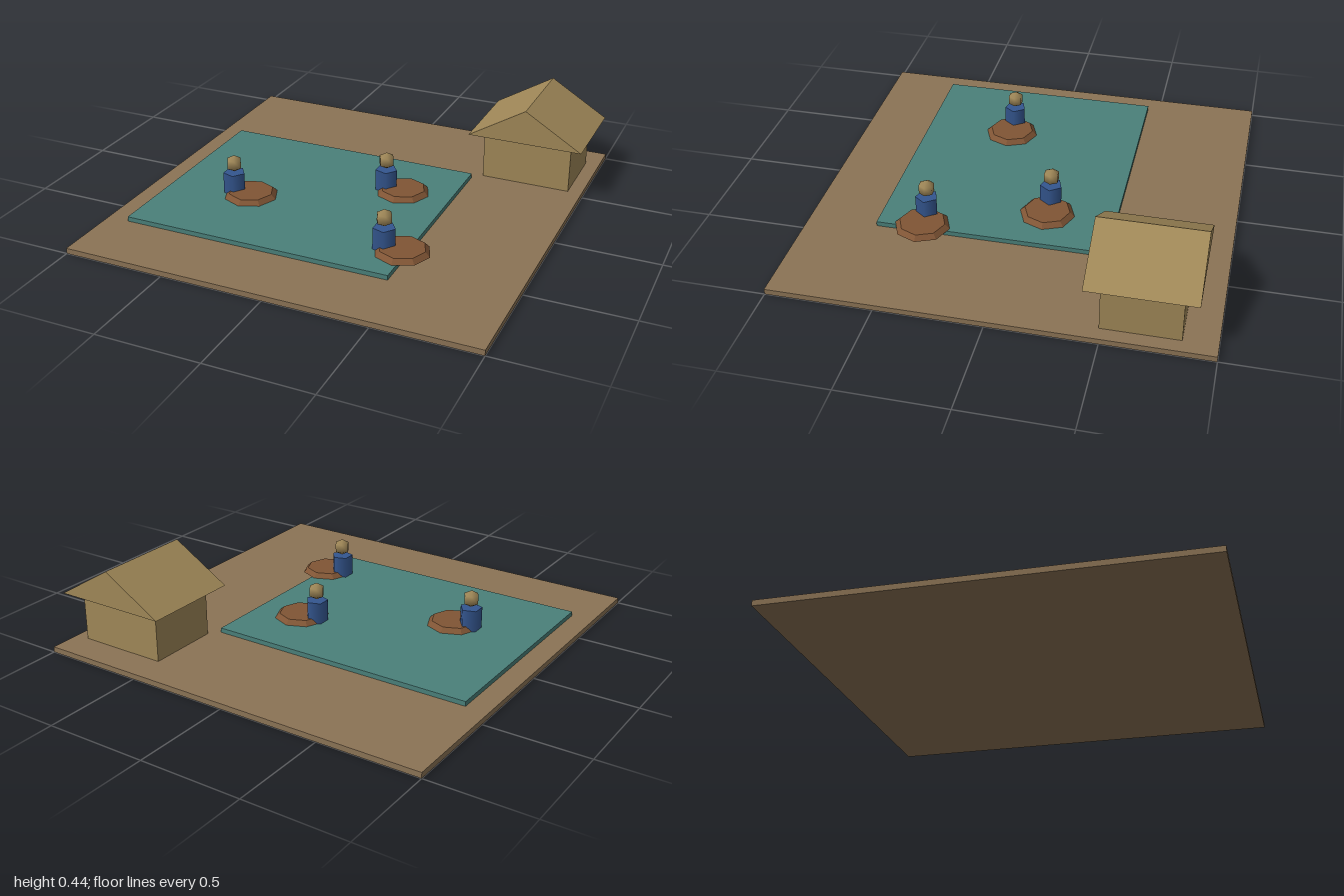
import * as THREE from 'three';

const material = (name, color) => {
  const m = new THREE.MeshStandardMaterial({ color });
  m.name = name;
  return m;
};

export function createModel() {
  const model = new THREE.Group();
  model.name = 'lakeScene';

  const earth = material('earth brown', 0x8b7355);
  const water = material('water teal', 0x4a807a);
  const straw = material('straw tan', 0xa08858);
  const wood = material('raft wood', 0x805535);
  const cloth = material('blue cloth', 0x34568f);

  const add = (parent, name, geometry, mat, x, y, z) => {
    const mesh = new THREE.Mesh(geometry, mat);
    mesh.name = name;
    mesh.position.set(x, y, z);
    parent.add(mesh);
    return mesh;
  };

  // Ground slab and the pond sheet lying on it
  add(model, 'ground', new THREE.BoxGeometry(2, 0.027, 2), earth, 0, 0.0135, 0);
  add(model, 'pond', new THREE.BoxGeometry(1.333, 0.024, 1.107), water, -0.224, 0.038, 0.111);

  // Hut: box walls under a closed gable roof with its ridge along z
  const hut = new THREE.Group();
  hut.name = 'hut';
  hut.position.set(0.709, 0.027, -0.667);
  model.add(hut);
  add(hut, 'walls', new THREE.BoxGeometry(0.444, 0.244, 0.356), straw, 0, 0.122, 0);
  const gable = new THREE.Shape([
    new THREE.Vector2(-0.287, 0),
    new THREE.Vector2(0.287, 0),
    new THREE.Vector2(0, 0.174),
  ]);
  const roof = new THREE.ExtrudeGeometry(gable, { depth: 0.488, bevelEnabled: false });
  add(hut, 'roof', roof, straw, 0, 0.244, -0.244);

  // Rafts, each with a person standing near its left-hand edge
  const raftShape = new THREE.CylinderGeometry(0.11, 0.133, 0.023, 8).toNonIndexed();
  raftShape.computeVertexNormals();
  const bodyShape = new THREE.CylinderGeometry(0.055, 0.055, 0.107, 5);
  bodyShape.rotateY(Math.PI / 2); // one corner points to +x
  const headShape = new THREE.SphereGeometry(0.043, 6, 3);

  [[-0.467, 0.222], [0.2, -0.111], [0.422, 0.444]].forEach(([x, z]) => {
    const crew = new THREE.Group();
    crew.name = 'raftWithPerson';
    crew.position.set(x, 0.05, z);
    add(crew, 'raft', raftShape, wood, 0, 0.0115, 0);
    add(crew, 'body', bodyShape, cloth, -0.089, 0.0535, 0);
    add(crew, 'head', headShape, straw, -0.089, 0.153, 0);
    model.add(crew);
  });

  return model;
}
